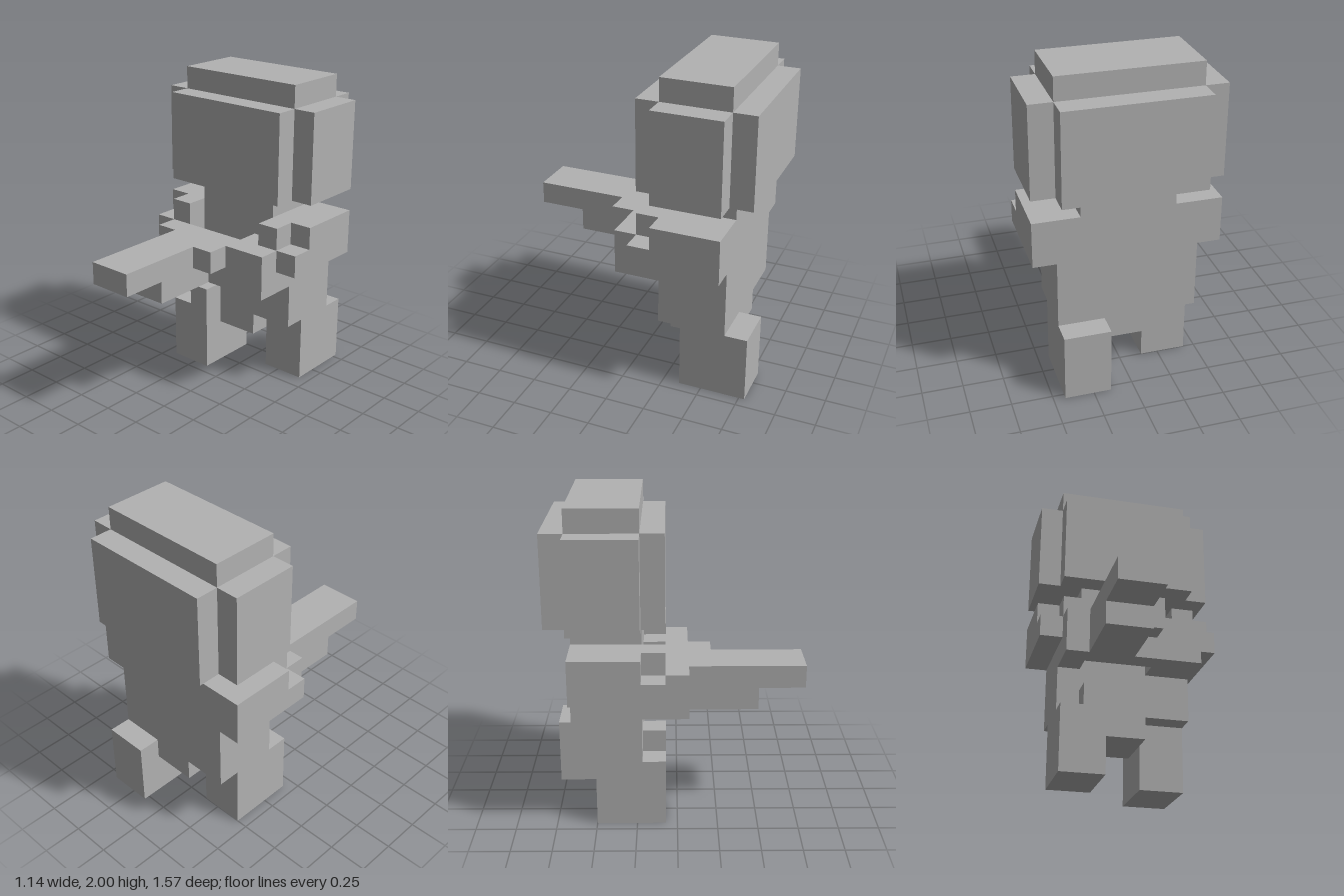
import * as THREE from 'three';

const U = 1 / 7; // edge of one block

export function createModel() {
  const model = new THREE.Group();
  model.name = 'blockFigure';
  const grey = new THREE.MeshStandardMaterial({ color: 0xb2b2b2 });
  grey.name = 'plain grey';

  // Box from its limits, measured in blocks
  const box = (parent, name, [x0, x1], [y0, y1], [z0, z1]) => {
    const geometry = new THREE.BoxGeometry((x1 - x0) * U, (y1 - y0) * U, (z1 - z0) * U);
    const mesh = new THREE.Mesh(geometry, grey);
    mesh.position.set((x0 + x1) / 2 * U, (y0 + y1) / 2 * U, (z0 + z1) / 2 * U);
    mesh.name = name;
    parent.add(mesh);
  };
  const part = (name) => {
    const group = new THREE.Group();
    group.name = name;
    model.add(group);
    return group;
  };
  const span = (side, a, b) => (side > 0 ? [a, b] : [-b, -a]);

  // Head: broad block, top cap and side blocks
  const head = part('head');
  box(head, 'face', [-3, 3], [9, 13], [-5.5, -0.5]);
  box(head, 'crown', [-3, 3], [13, 14], [-4.5, -1.5]);

  // Body
  const body = part('body');
  box(body, 'neck', [-2, 2], [8, 9], [-4.5, -1.5]);
  box(body, 'torso', [-3, 3], [3, 8], [-4.5, -1.5]);
  box(body, 'hips', [-1, 1], [2, 3], [-4.5, -1.5]);

  // Mirrored head sides, shoulders and upper arms
  for (const side of [1, -1]) {
    const label = side > 0 ? 'left' : 'right';
    box(head, label + 'HeadSide', span(side, 3, 4), [9, 13], [-4.5, -1.5]);
    const arm = part(label + 'Arm');
    box(arm, 'shoulder', span(side, 3, 4), [6, 8], [-4.5, -1.5]);
    box(arm, 'elbow', span(side, 3, 4), [6, 7], [-1.5, -0.5]);
    box(arm, 'shoulderFront', span(side, 2, 3), [7, 8], [-1.5, -0.5]);
    // The left forearm reaches further across the body
    box(arm, 'forearm', side > 0 ? [1, 3] : [-3, -2], [5, 7], [-1.5, 0.5]);
  }

  // Legs in mid stride, right one forward with a raised knee
  const leftLeg = part('leftLeg');
  box(leftLeg, 'leg', [1, 3], [0, 3], [-5.5, -2.5]);
  const rightLeg = part('rightLeg');
  box(rightLeg, 'leg', [-3, -1], [0, 3], [-3.5, -0.5]);
  box(rightLeg, 'knee', [-2, -1], [3, 4], [-1.5, -0.5]);

  // Long object held in front of the chest
  const tool = part('heldTool');
  box(tool, 'body', [-2, 0], [5, 7], [-0.5, 3.5]);
  box(tool, 'barrel', [-2, 0], [6, 7], [3.5, 5.5]);
  box(tool, 'grip', [0, 1], [5, 7], [-0.5, 0.5]);
  box(tool, 'sideKnob', [0, 1], [6, 7], [0.5, 1.5]);

  return model;
}
